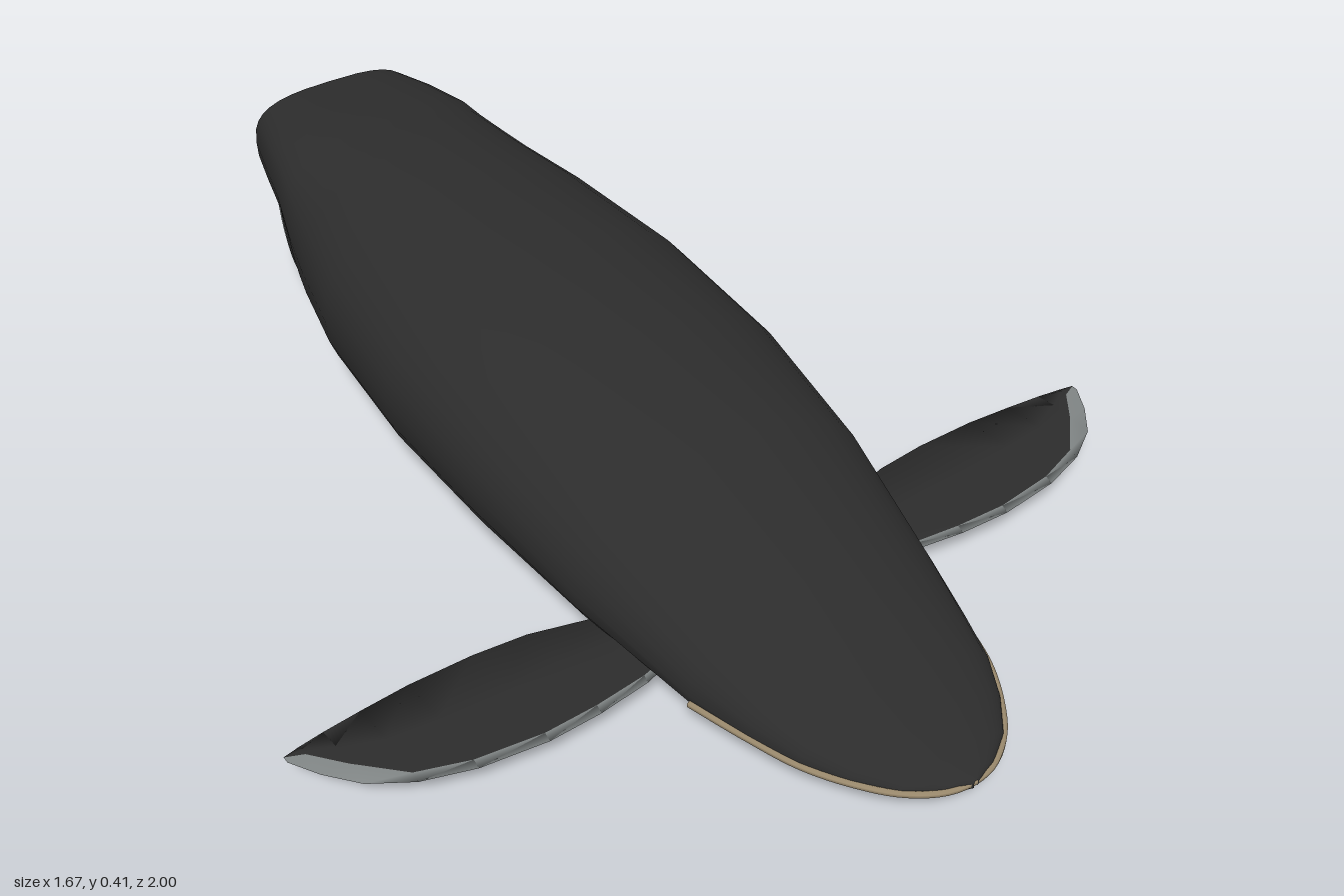
import * as THREE from 'three';

const mat = (name, color, side = THREE.FrontSide) => {
  const m = new THREE.MeshStandardMaterial({ color, side });
  m.name = name;
  return m;
};

// Skin a grid of points; matOf(row, column) picks the material index of each quad.
function skin(rows, mats, matOf, flip = false) {
  const n = rows[0].length;
  const lists = mats.map(() => []);
  for (let i = 0; i < rows.length - 1; i++) {
    for (let j = 0; j < n; j++) {
      const k = (j + 1) % n;
      const a = i * n + j, b = a + n, c = i * n + k, d = c + n;
      lists[matOf(i, j)].push(...(flip ? [a, c, b, b, c, d] : [a, b, c, b, d, c]));
    }
  }
  const g = new THREE.BufferGeometry();
  g.setAttribute('position', new THREE.Float32BufferAttribute(rows.flat(2), 3));
  g.setIndex(lists.flat());
  let start = 0;
  lists.forEach((l, m) => { g.addGroup(start, l.length, m); start += l.length; });
  g.computeVertexNormals();
  return new THREE.Mesh(g, mats);
}

// Hull stations: z, half width, top, widest height, bottom
const HULL = [
  [1.0, 0.004, 0.078, 0.070, 0.062],
  [0.985, 0.05, 0.086, 0.070, 0.055],
  [0.95, 0.105, 0.098, 0.070, 0.044],
  [0.89, 0.155, 0.115, 0.070, 0.034],
  [0.82, 0.195, 0.138, 0.072, 0.027],
  [0.73, 0.225, 0.165, 0.076, 0.021],
  [0.62, 0.255, 0.210, 0.085, 0.015],
  [0.37, 0.302, 0.310, 0.135, 0.009],
  [0.10, 0.330, 0.370, 0.180, 0.006],
  [-0.18, 0.335, 0.403, 0.200, 0.008],
  [-0.45, 0.310, 0.415, 0.210, 0.020],
  [-0.60, 0.277, 0.415, 0.225, 0.042],
  [-0.65, 0.264, 0.414, 0.235, 0.062],
  [-0.69, 0.254, 0.412, 0.245, 0.110],
  [-0.73, 0.243, 0.410, 0.260, 0.170],
  [-0.78, 0.230, 0.408, 0.290, 0.205],
  [-0.88, 0.204, 0.400, 0.300, 0.213],
  [-0.97, 0.178, 0.390, 0.304, 0.218],
];
const SEG = 32;

// Superellipse ring, fuller below and squarer at the stern
function ring([z, w, top, mid, bot], scale = 1) {
  const square = THREE.MathUtils.smoothstep(-z, 0.5, 0.97);
  return Array.from({ length: SEG }, (_, j) => {
    const a = ((j + 0.5) / SEG) * Math.PI * 2 - Math.PI / SEG;
    const c = Math.cos(a), s = Math.sin(a);
    const e = 2 / ((s > 0 ? 2.12 : 2.4) + square * 0.9);
    const h = s > 0 ? top - mid : mid - bot;
    return [
      Math.sign(c) * Math.abs(c) ** e * w * scale,
      mid + Math.sign(s) * Math.abs(s) ** e * h * scale,
      z,
    ];
  });
}

export function createModel() {
  const black = mat('hull black', 0x2c2c2c);
  const grey = mat('belly grey', 0x7f8484);
  const tan = mat('baleen tan', 0x9c8b6e);
  const brown = mat('slat brown', 0x5e503c);
  const blackPlate = mat('fin black', 0x2c2c2c, THREE.DoubleSide);
  blackPlate.color.copy(black.color);
  const brass = mat('nozzle tan', 0x9c8060, THREE.DoubleSide);

  const model = new THREE.Group();
  const add = (mesh, name, parent = model) => {
    mesh.name = name;
    parent.add(mesh);
    return mesh;
  };

  // Hull with painted belly, sweeping up the sides ahead of the stern recess
  const belly = (i, j) => {
    const below = 360 - ((j + 0.5) / SEG) * 360;
    const fromKeel = Math.abs(below - 90);
    if (i < 2 || i > 14) return 0;
    const reach = i < 11 ? 34 : i === 11 ? 46 : i === 12 ? 57 : 80;
    return fromKeel < reach ? 1 : 0;
  };
  add(skin(HULL.map((h) => ring(h)), [black, grey], belly), 'hull');

  // Stern lip turning into the shallow opening
  const stern = HULL[HULL.length - 1];
  const at = (z, scale) => ring([z, ...stern.slice(1)], scale);
  add(skin([at(-0.97, 1), at(-0.976, 0.95), at(-0.972, 0.9), at(-0.955, 0.88), at(-0.955, 0.001)],
    [black, brown], (i) => (i === 3 ? 1 : 0)), 'sternOpening');

  // Vertical slats filling the opening
  const slats = new THREE.Group();
  add(slats, 'sternSlats');
  const count = 15;
  for (let k = 0; k < count; k++) {
    const u = ((k + 0.5) / count) * 2 - 1;
    const h = (1 - Math.abs(u) ** 3) ** (1 / 3) * 0.15;
    const slat = new THREE.Mesh(new THREE.BoxGeometry(0.0165, h, 0.012), tan);
    slat.position.set(u * 0.155, 0.304, -0.958 - (k % 2) * 0.003);
    add(slat, 'slat', slats);
  }

  // Thin mouth line around the nose
  const side = HULL.slice(1, 7);
  const lip = [
    ...side.slice().reverse().map(([z, w]) => new THREE.Vector3(w, 0.069, z)),
    new THREE.Vector3(0, 0.069, 0.994),
    ...side.map(([z, w]) => new THREE.Vector3(-w, 0.069, z)),
  ];
  add(new THREE.Mesh(new THREE.TubeGeometry(new THREE.CatmullRomCurve3(lip), 64, 0.006, 6), tan), 'mouthLine');

  // Flippers: x, leading z, trailing z, thickness, grey share of the chord
  const FLIPPER = [
    [0.20, 0.52, 0.40, 0.024, 0.06],
    [0.28, 0.545, 0.37, 0.024, 0.06],
    [0.38, 0.560, 0.345, 0.024, 0.06],
    [0.48, 0.565, 0.337, 0.022, 0.06],
    [0.60, 0.552, 0.338, 0.019, 0.07],
    [0.69, 0.525, 0.346, 0.015, 0.10],
    [0.76, 0.483, 0.354, 0.011, 0.36],
    [0.805, 0.430, 0.361, 0.007, 0.70],
    [0.835, 0.380, 0.368, 0.002, 0.98],
  ];
  for (const s of [1, -1]) {
    const rows = FLIPPER.map(([x, lead, trail, t, g]) => {
      const y = 0.068 + Math.max(0, x - 0.25) * 0.015;
      const p = (u, v) => [s * x, y + v * t, THREE.MathUtils.lerp(lead, trail, u)];
      const mid = (g + 1) / 2;
      return [p(0, 0), p(g, 0.3), p(mid, 0.5), p(1, 0), p(0.65, -0.45), p(0.25, -0.5)];
    });
    const flipper = skin(rows, [black, grey], (i, j) => (j === 1 || j === 2 ? 0 : 1), s < 0);
    add(flipper, s > 0 ? 'leftFlipper' : 'rightFlipper');
  }

  // Tail fins: grey blades with a black outer panel
  const outline = (pts) => {
    const shape = new THREE.Shape();
    shape.moveTo(-0.33, 0.24);
    shape.lineTo(...pts[0]);
    shape.splineThru(pts.slice(1).map((p) => new THREE.Vector2(...p)));
    shape.lineTo(-0.06, 0.24);
    shape.closePath();
    return shape;
  };
  const blade = new THREE.ExtrudeGeometry(
    outline([[-0.33, 0.10], [-0.27, 0.066], [-0.18, 0.053], [-0.10, 0.06], [-0.04, 0.11], [0, 0.212]]),
    { depth: 0.012, bevelEnabled: false, curveSegments: 20 }).translate(0, 0, -0.006);
  const panel = new THREE.ShapeGeometry(
    outline([[-0.30, 0.11], [-0.26, 0.078], [-0.18, 0.064], [-0.11, 0.072], [-0.06, 0.12], [-0.03, 0.206]]), 20);
  for (const s of [1, -1]) {
    const fin = new THREE.Group();
    add(fin, s > 0 ? 'leftTailFin' : 'rightTailFin');
    fin.position.set(s * 0.13, 0, -1);
    fin.rotation.y = Math.PI / 2 + s * 0.22;
    add(new THREE.Mesh(blade, grey), 'blade', fin);
    add(new THREE.Mesh(panel, blackPlate), 'outerPanel', fin).position.z = s * 0.008;
  }

  // Flared thruster nozzle under the stern, opening backwards
  const bell = [[0.012, -0.12], [0.022, -0.06], [0.026, 0], [0.036, 0.035], [0.048, 0.055],
    [0.04, 0.055], [0.022, 0.02], [0.001, 0.015]].map((p) => new THREE.Vector2(...p));
  const nozzle = add(new THREE.Mesh(new THREE.LatheGeometry(bell, 20), brass), 'thrusterNozzle');
  nozzle.rotation.x = -Math.PI / 2;
  nozzle.position.set(0, 0.155, -0.85);
  const hub = add(new THREE.Mesh(new THREE.SphereGeometry(0.012, 12, 8), brown), 'thrusterHub');
  hub.position.set(0, 0.155, -0.87);

  return model;
}
